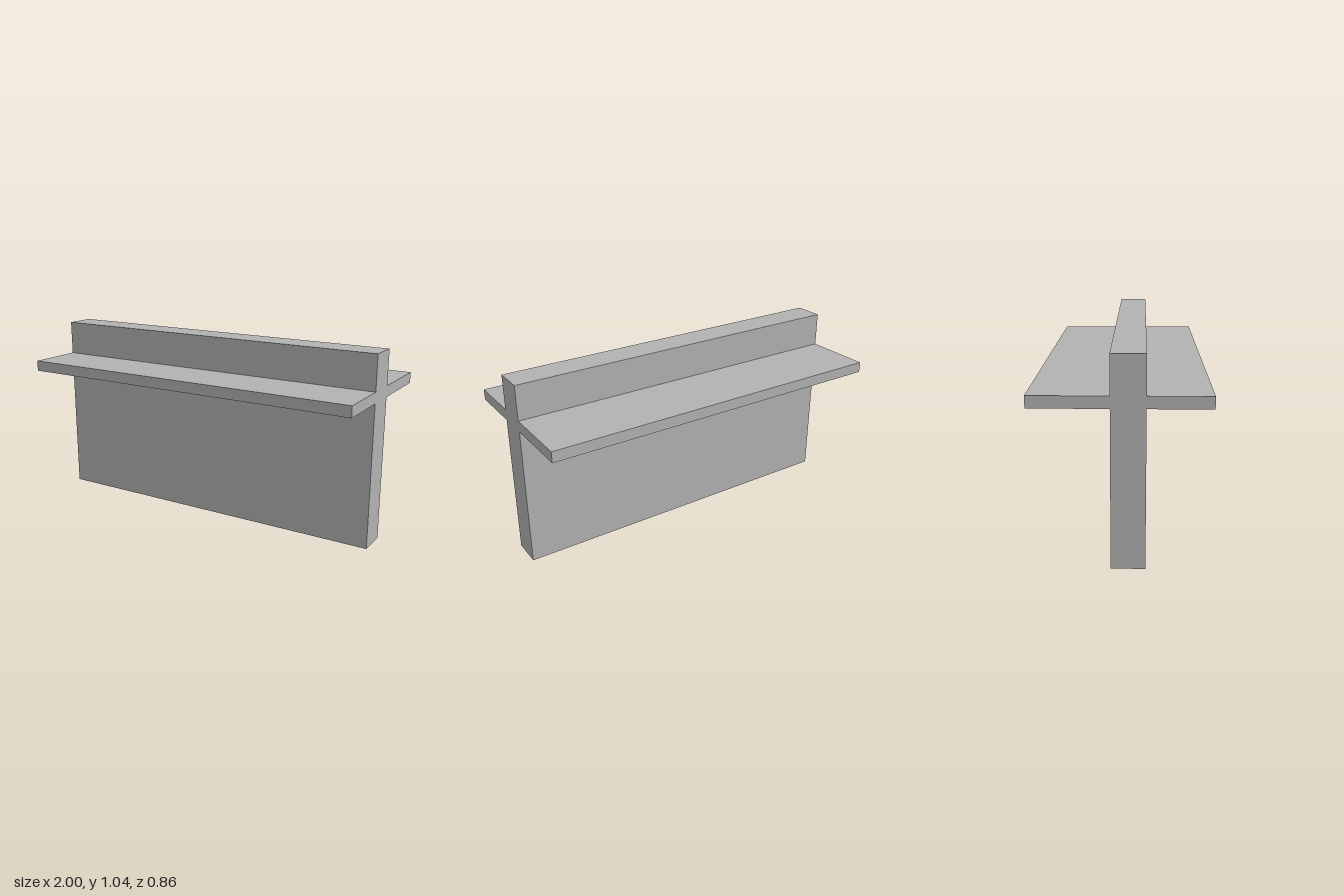
import * as THREE from 'three';

export function createModel() {
  const group = new THREE.Group();
  group.name = 'crossBeam';
  const grey = new THREE.MeshStandardMaterial({ color: 0xb2b2b2 });
  grey.name = 'grey';

  // Heights and depths of the upright web and the horizontal flange
  const length = 2, top = 1.043;
  const webFront = 0.121, webBack = -0.045;
  const flangeHalf = 0.43, flangeLow = 0.79, flangeHigh = 0.85;

  // Cross-section outline as [z, y], one continuous solid
  const outline = [
    [webFront, 0], [webBack, 0],
    [webBack, flangeLow], [-flangeHalf, flangeLow],
    [-flangeHalf, flangeHigh], [webBack, flangeHigh],
    [webBack, top], [webFront, top],
    [webFront, flangeHigh], [flangeHalf, flangeHigh],
    [flangeHalf, flangeLow], [webFront, flangeLow],
  ];
  const section = new THREE.Shape(outline.map(([z, y]) => new THREE.Vector2(-z, y)));

  // Extrude along the length, then turn the length onto x
  const geometry = new THREE.ExtrudeGeometry(section, { depth: length, bevelEnabled: false });
  geometry.translate(0, 0, -length / 2);
  geometry.rotateY(Math.PI / 2);

  const beam = new THREE.Mesh(geometry, grey);
  beam.name = 'beam';
  group.add(beam);
  return group;
}
